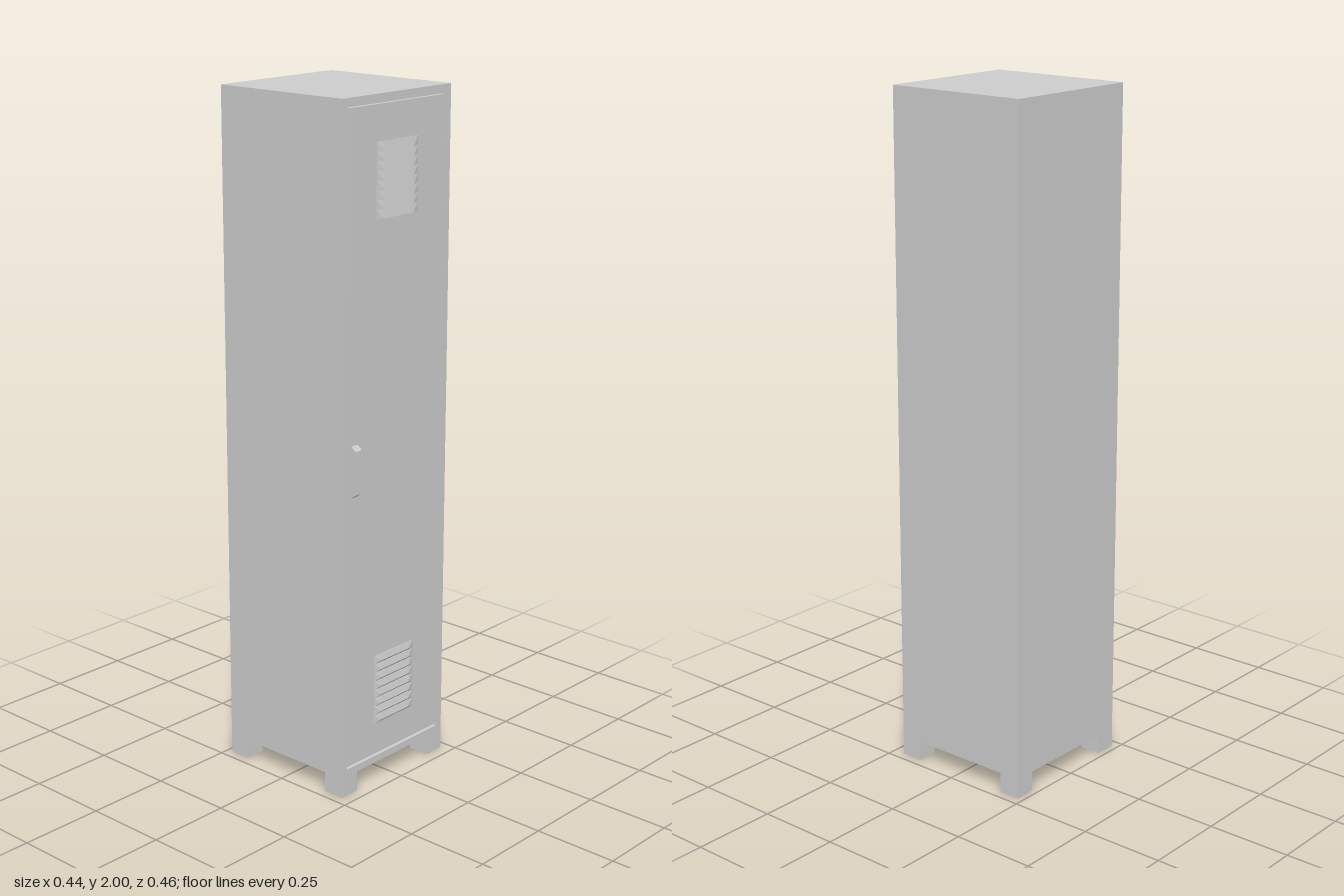
import * as THREE from 'three';
import { ConvexGeometry } from 'three/addons/geometries/ConvexGeometry.js';

const material = new THREE.MeshStandardMaterial({ color: 0xcccccc, flatShading: true });
const W = 0.2225, BACK = -0.232, FRONT = 0.214, FLOOR = 0.06, TOP = 2;
const RECESS = 0.012;

function add(parent, name, geometry, x = 0, y = 0, z = 0) {
  const mesh = new THREE.Mesh(geometry, material);
  mesh.name = name;
  mesh.position.set(x, y, z);
  parent.add(mesh);
  return mesh;
}

// Box given by its minimum and maximum corners
function addBox(parent, name, [x0, y0, z0], [x1, y1, z1]) {
  return add(parent, name, new THREE.BoxGeometry(x1 - x0, y1 - y0, z1 - z0),
    (x0 + x1) / 2, (y0 + y1) / 2, (z0 + z1) / 2);
}

function rectangle(PathType, x, y0, y1) {
  return new PathType([[-x, y0], [x, y0], [x, y1], [-x, y1]].map(p => new THREE.Vector2(...p)));
}

// Pressed vent slat: tapered ends, leaning outwards towards its lower edge
function slatGeometry(height, lift) {
  const points = [];
  for (const s of [-1, 1]) {
    points.push(
      new THREE.Vector3(s * 0.085, 0, -0.002),
      new THREE.Vector3(s * 0.085, height, -0.002),
      new THREE.Vector3(s * 0.085, 0, 0),
      new THREE.Vector3(s * 0.085, height, 0),
      new THREE.Vector3(s * 0.06, height, 0.002),
      new THREE.Vector3(s * 0.06, lift, 0.007));
  }
  return new ConvexGeometry(points);
}

function addVent(parent, name, bottom, pitch, lift) {
  const vent = new THREE.Group();
  vent.name = name;
  const geometry = slatGeometry(pitch, lift);
  for (let i = 0; i < 8; i++) add(vent, 'ventSlat', geometry, 0, bottom + i * pitch, FRONT);
  parent.add(vent);
}

export function createModel() {
  const locker = new THREE.Group();
  locker.name = 'locker';

  // Cabinet and the frame around the door
  addBox(locker, 'cabinet', [-W, FLOOR, BACK], [W, TOP, FRONT - RECESS]);
  const frame = rectangle(THREE.Shape, W, FLOOR, TOP);
  frame.holes.push(rectangle(THREE.Path, 0.201, 0.081, 1.981));
  add(locker, 'doorFrame',
    new THREE.ExtrudeGeometry(frame, { depth: RECESS, bevelEnabled: false }), 0, 0, FRONT - RECESS);

  // Door, set in with a narrow gap all round
  addBox(locker, 'door', [-0.194, 0.089, FRONT - RECESS], [0.194, 1.973, FRONT]);

  // Four square feet
  const foot = 0.065;
  for (const x of [-W, W - foot]) {
    for (const z of [BACK, FRONT - foot]) {
      addBox(locker, 'foot', [x, 0, z], [x + foot, FLOOR, z + foot]);
    }
  }

  // Vents
  addVent(locker, 'upperVent', 1.665, 0.026, 0);
  addVent(locker, 'lowerVent', 0.185, 0.0265, 0.008);

  // Bent strap handle: profile in depth and height, extruded sideways
  const profile = [
    [0, -0.075], [0.016, -0.063], [0.016, 0.063], [0, 0.075],
    [0, 0.070], [0.012, 0.060], [0.012, -0.060], [0, -0.070],
  ].map(p => new THREE.Vector2(...p));
  const strap = new THREE.ExtrudeGeometry(new THREE.Shape(profile), { depth: 0.025, bevelEnabled: false });
  strap.rotateY(-Math.PI / 2);
  add(locker, 'handle', strap, -0.159, 0.975, FRONT);

  return locker;
}
